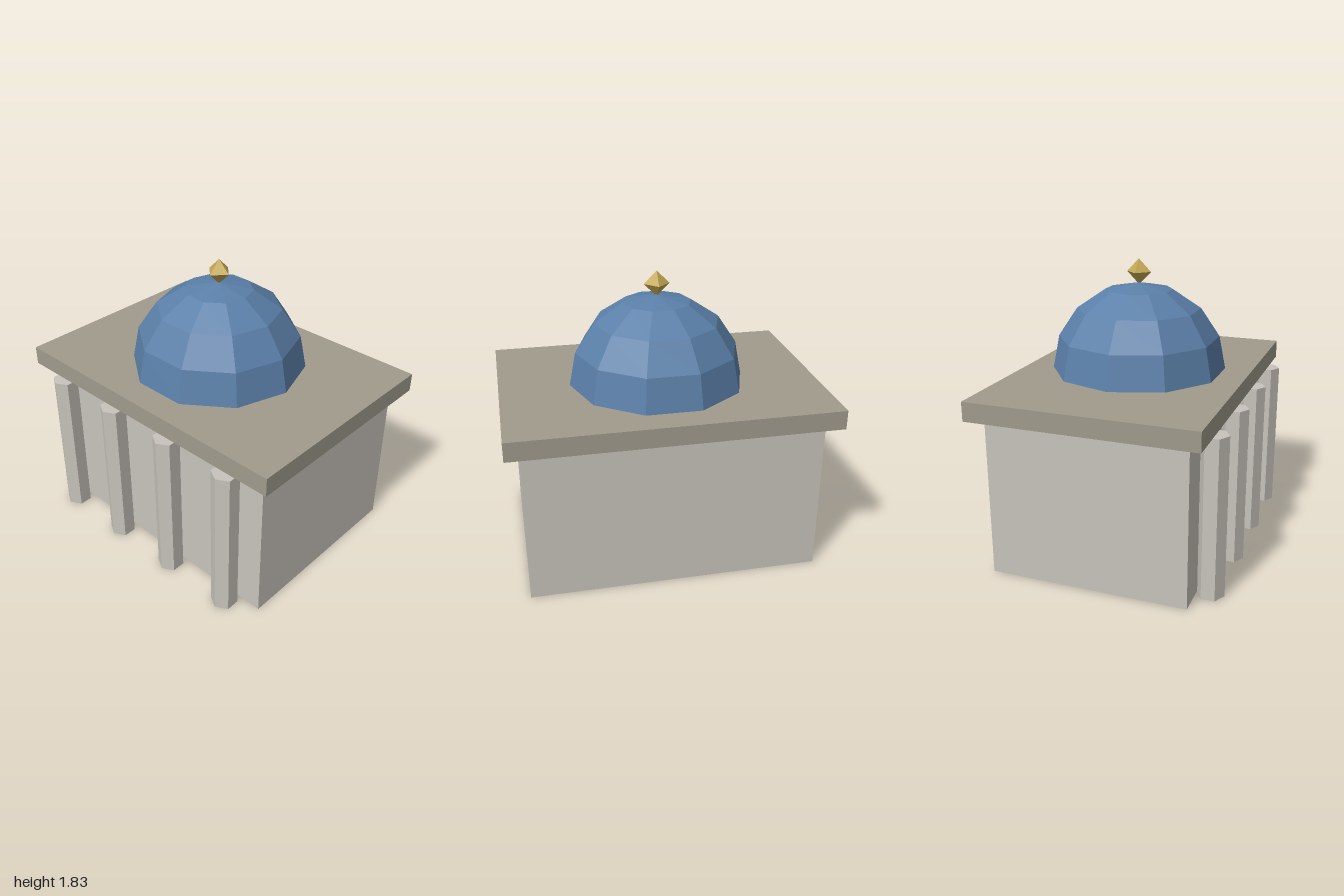
import * as THREE from 'three';

const stone = new THREE.MeshStandardMaterial({ color: 0xc8c4bc });
const roofStone = new THREE.MeshStandardMaterial({ color: 0xa09b8c });
const domeBlue = new THREE.MeshStandardMaterial({ color: 0x5b80a9 });
const gold = new THREE.MeshStandardMaterial({ color: 0xc4a856 });
for (const m of [stone, roofStone, domeBlue, gold]) m.flatShading = true;

const CZ = -0.04; // depth centre of the hall, set back behind the columns

export function createModel() {
  const model = new THREE.Group();
  model.name = 'domedHall';

  function add(name, geometry, material, x, y, z) {
    const mesh = new THREE.Mesh(geometry, material);
    mesh.name = name;
    mesh.position.set(x, y, z);
    model.add(mesh);
  }

  // Hall block and overhanging roof slab
  add('hall', new THREE.BoxGeometry(1.82, 1, 1.24), stone, 0, 0.5, CZ);
  add('roofSlab', new THREE.BoxGeometry(2, 0.12, 1.415), roofStone, 0, 1.06, CZ);

  // Row of hexagonal columns along the front, one corner facing forward
  const columnGeometry = new THREE.CylinderGeometry(0.083, 0.083, 1, 6);
  for (let i = 0; i < 4; i++) {
    add('column', columnGeometry, stone, -0.705 + i * 0.47, 0.5, 0.664);
  }

  // Ten-sided dome and its finial
  const domeGeometry = new THREE.SphereGeometry(0.557, 10, 4, 0, Math.PI * 2, 0, Math.PI / 2);
  add('dome', domeGeometry, domeBlue, 0, 1.12, CZ);
  add('finial', new THREE.OctahedronGeometry(0.08), gold, 0, 1.745, CZ);

  return model;
}
